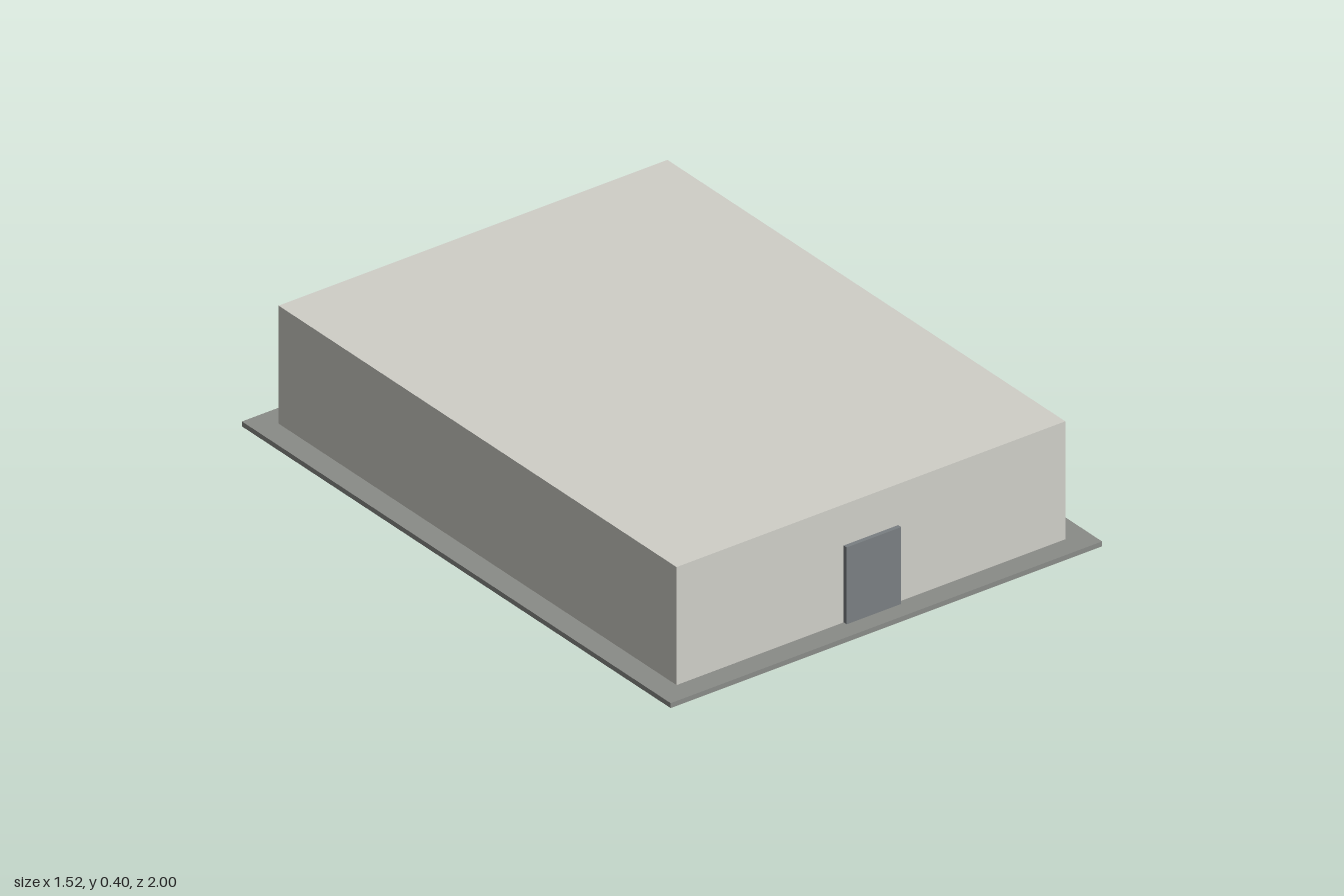
import * as THREE from 'three';

// Box resting on height y, centred on x = 0
function block(name, color, width, height, depth, y, z = 0) {
  const mesh = new THREE.Mesh(
    new THREE.BoxGeometry(width, height, depth),
    new THREE.MeshStandardMaterial({ color })
  );
  mesh.name = name;
  mesh.position.set(0, y + height / 2, z);
  return mesh;
}

export function createModel() {
  const model = new THREE.Group();
  model.name = 'building';
  const slabTop = 0.016;
  const wallFront = 0.928;

  // Paved base, flat-roofed hall and front door
  model.add(block('baseSlab', 0x8a8c88, 1.52, slabTop, 2, 0));
  model.add(block('hall', 0xd0cfc8, 1.37, 0.398 - slabTop, wallFront * 2, slabTop));
  model.add(block('door', 0x7a7f82, 0.192, 0.265 - slabTop, 0.014, slabTop, wallFront + 0.007));

  return model;
}
